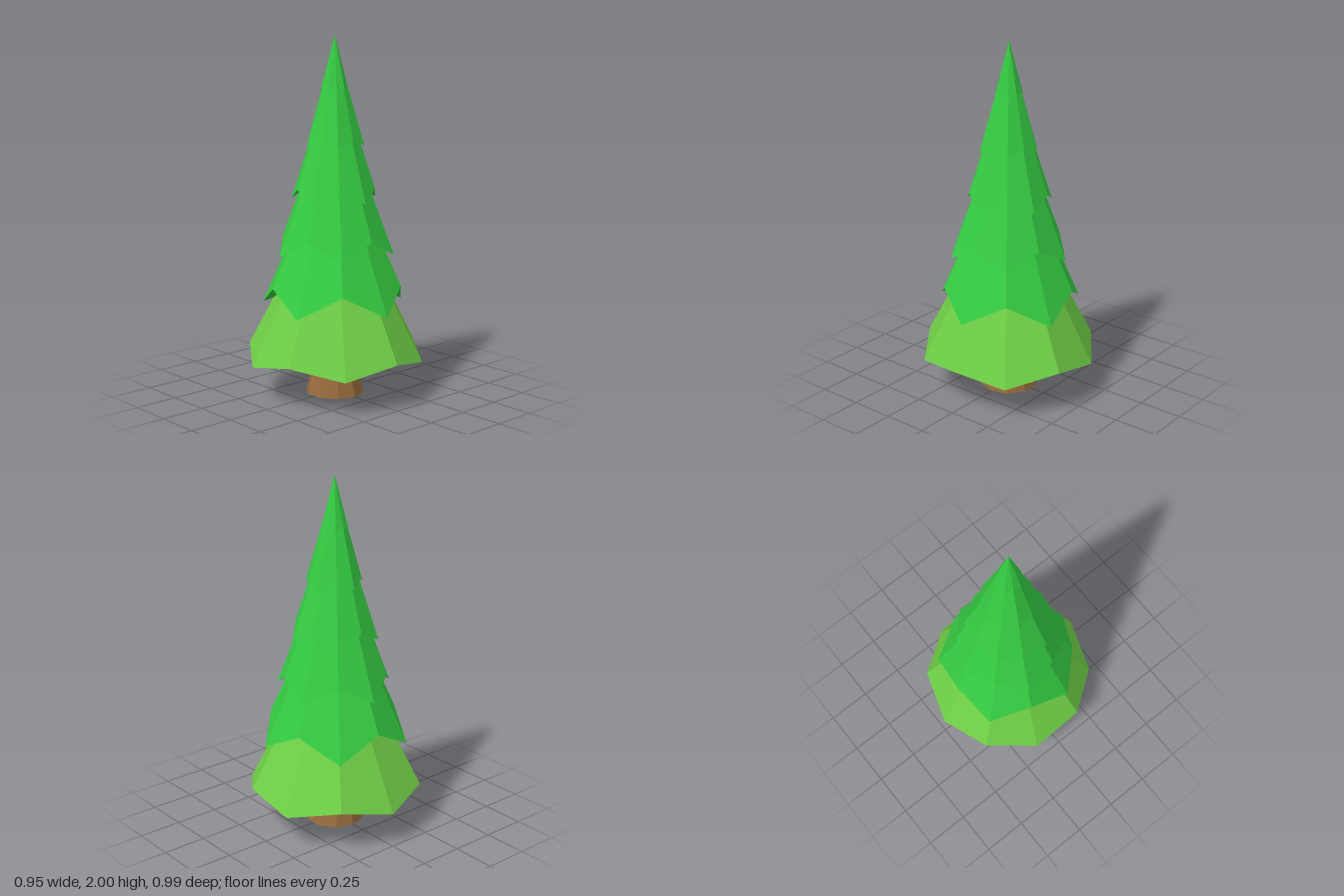
import * as THREE from 'three';

const SIDES = 10;
const paint = (color) => new THREE.MeshStandardMaterial({ color, flatShading: true });

// Ten-sided cone whose rim alternates between two corners [radius, height],
// with an underside rising to a point on the axis.
function branchTier(even, odd, apex, hollow) {
  const geo = new THREE.ConeGeometry(1, 1, SIDES, 1).toNonIndexed();
  const pos = geo.attributes.position;
  for (let i = 0; i < pos.count; i++) {
    const x = pos.getX(i), z = pos.getZ(i);
    if (Math.hypot(x, z) > 0.5) {
      const k = Math.round(Math.atan2(x, z) / (Math.PI * 2) * SIDES);
      const [r, y] = k % 2 === 0 ? even : odd;
      pos.setXYZ(i, x * r, y, z * r);
    } else {
      pos.setXYZ(i, 0, pos.getY(i) > 0 ? apex : hollow, 0);
    }
  }
  geo.computeVertexNormals();
  return geo;
}

export function createModel() {
  const tree = new THREE.Group();
  tree.name = 'pineTree';

  // Tapered trunk
  const trunk = new THREE.Mesh(
    new THREE.CylinderGeometry(0.06, 0.165, 0.4, SIDES).translate(0, 0.2, 0),
    paint(0x966a3c)
  );
  trunk.name = 'trunk';
  tree.add(trunk);

  // Branch tiers from the bottom up: even corner, odd corner, apex height
  const tiers = [
    [[0.497, 0.255], [0.497, 0.195], 1.2],
    [[0.415, 0.5], [0.373, 0.625], 1.45],
    [[0.295, 0.895], [0.333, 0.8], 1.68],
    [[0.247, 1.1], [0.225, 1.165], 1.85],
    [[0.147, 1.44], [0.165, 1.4], 1.97],
    [[0.08, 1.7], [0.068, 1.73], 2.0],
  ];
  const lowerGreen = paint(0x6fcf46), upperGreen = paint(0x35cc42);
  tiers.forEach(([even, odd, apex], i) => {
    const hollow = Math.min(even[1], odd[1]) + 0.17;
    const tier = new THREE.Mesh(branchTier(even, odd, apex, hollow), i ? upperGreen : lowerGreen);
    tier.name = i ? `upperBranches${i}` : 'lowerBranches';
    tree.add(tier);
  });

  return tree;
}
